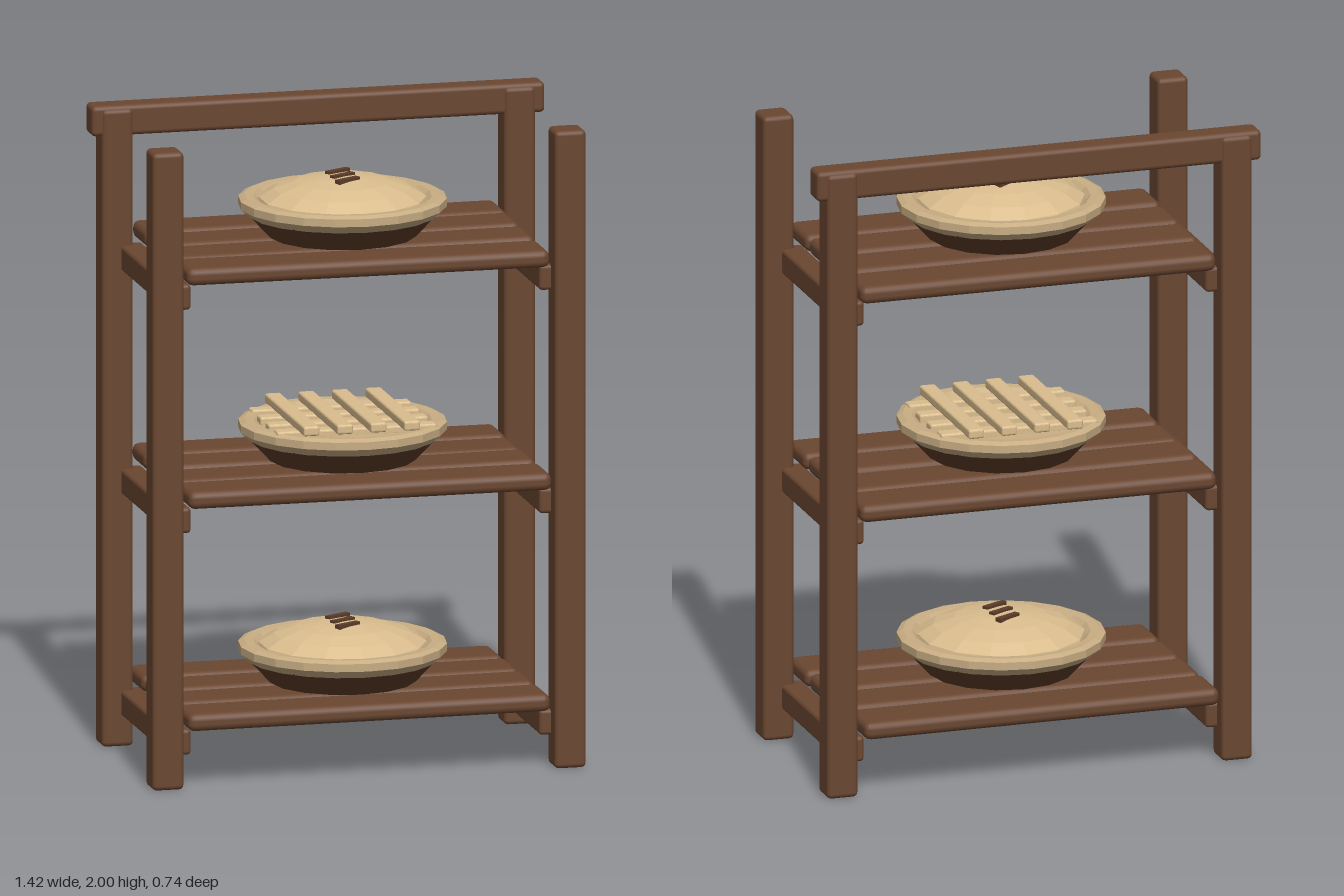
import * as THREE from 'three';
import { RoundedBoxGeometry } from 'three/addons/geometries/RoundedBoxGeometry.js';

const material = (name, color, flatShading = false) => {
  const m = new THREE.MeshStandardMaterial({ color, flatShading });
  m.name = name;
  return m;
};

export function createModel() {
  const wood = material('wood', 0x6b4731);
  const dark = material('dark baked brown', 0x5c3c28, true);
  const rimCrust = material('rim crust', 0xc9ae84, true);
  const crust = material('golden crust', 0xdabd8e, true);

  const model = new THREE.Group();
  model.name = 'pieRack';

  const add = (parent, name, geometry, mat, x = 0, y = 0, z = 0) => {
    const mesh = new THREE.Mesh(geometry, mat);
    mesh.name = name;
    mesh.position.set(x, y, z);
    parent.add(mesh);
    return mesh;
  };
  const beam = (w, h, d, r) => new RoundedBoxGeometry(w, h, d, 2, r);
  const lathe = (points, sides) =>
    new THREE.LatheGeometry(points.map(([r, y]) => new THREE.Vector2(r, y)), sides);

  // Small seeded wobble for the hand-laid planks
  let seed = 7;
  const wobble = (amount) => {
    seed = (seed * 16807) % 2147483647;
    return (seed / 2147483647 - 0.5) * 2 * amount;
  };

  // Corner posts and the rear top rail
  for (const x of [-0.63, 0.63]) {
    for (const z of [-0.312, 0.316]) {
      add(model, z > 0 ? 'frontPost' : 'backPost', beam(0.098, 1.985, 0.098, 0.015), wood, x, 0.9975, z);
    }
  }
  add(model, 'topRail', beam(1.42, 0.095, 0.085, 0.015), wood, 0, 1.9525, -0.312);

  // A shelf: two side bearers and four slightly uneven planks
  function addShelf(y) {
    const shelf = new THREE.Group();
    shelf.name = 'shelf';
    shelf.position.y = y;
    for (const x of [-0.583, 0.583]) {
      add(shelf, 'bearer', beam(0.075, 0.08, 0.62, 0.012), wood, x, -0.105, 0);
    }
    for (let i = 0; i < 4; i++) {
      const plank = add(shelf, 'plank', beam(1.135, 0.055, 0.17, 0.022), wood,
        wobble(0.006), -0.034, -0.282 + i * 0.188);
      plank.rotation.set(0, wobble(0.007), wobble(0.005));
    }
    model.add(shelf);
  }

  // A pie: tapered dish, thick rim, and a domed or lattice lid
  function addPie(y, lattice) {
    const pie = new THREE.Group();
    pie.name = lattice ? 'latticePie' : 'domedPie';
    pie.position.set(0, y, 0.025);
    add(pie, 'dish', lathe([[0, 0], [0.225, 0], [0.29, 0.07], [0, 0.075]], 16), dark);
    add(pie, 'rim', lathe([[0.25, 0.06], [0.29, 0.067], [0.318, 0.092], [0.318, 0.116],
      [0.30, 0.124], [0.272, 0.122], [0.25, 0.105]], 20), rimCrust);

    if (lattice) {
      add(pie, 'filling', lathe([[0.265, 0.108], [0, 0.114]], 20), rimCrust);
      for (let i = 0; i < 4; i++) {
        const offset = -0.158 + i * 0.105;
        add(pie, 'crossStrip', beam(0.5, 0.028, 0.05, 0.007), crust, 0, 0.117, offset);
        add(pie, 'topStrip', beam(0.05, 0.03, 0.49, 0.007), crust, offset, 0.142, 0);
      }
    } else {
      add(pie, 'dome', lathe([[0.262, 0.10], [0.255, 0.118], [0.21, 0.145], [0.145, 0.167],
        [0.07, 0.179], [0, 0.182]], 14), crust);
      // Vent cuts on the lid
      for (let i = -1; i <= 1; i++) {
        const cut = add(pie, 'ventCut', new THREE.BoxGeometry(0.085, 0.014, 0.02), dark, 0, 0.181, i * 0.063);
        cut.rotation.y = 0.5;
      }
    }
    model.add(pie);
  }

  [0.245, 0.935, 1.63].forEach((y, i) => {
    addShelf(y);
    addPie(y, i === 1);
  });
  return model;
}
